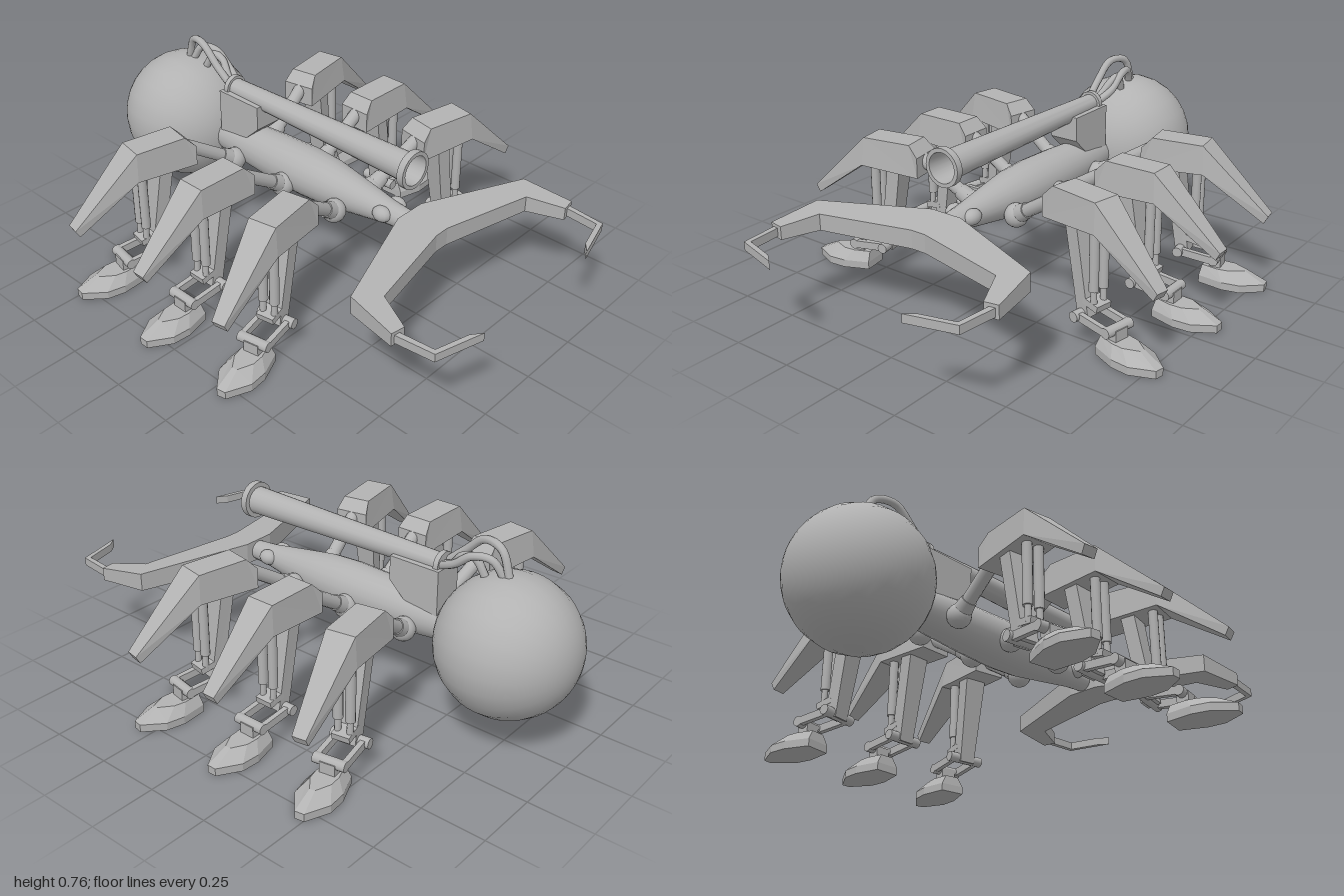
import * as THREE from 'three';
import { toCreasedNormals } from 'three/addons/utils/BufferGeometryUtils.js';

const V = (x, y, z) => new THREE.Vector3(x, y, z);
const grey = new THREE.MeshStandardMaterial({ color: 0xb2b2b2 });
grey.name = 'grey metal';

function add(parent, name, geo) {
  const mesh = new THREE.Mesh(geo, grey);
  mesh.name = name;
  parent.add(mesh);
  return mesh;
}

// Move every vertex by a rule, then refresh the normals
function warp(geo, rule) {
  const p = geo.attributes.position;
  const v = V();
  for (let i = 0; i < p.count; i++) {
    rule(v.fromBufferAttribute(p, i));
    p.setXYZ(i, v.x, v.y, v.z);
  }
  geo.computeVertexNormals();
  return geo;
}

// Extrude an outline by depth along z, centred
function slab(points, depth, steps = 1) {
  const shape = new THREE.Shape(points.map(([x, y]) => new THREE.Vector2(x, y)));
  return new THREE.ExtrudeGeometry(shape, { depth, steps, bevelEnabled: false }).translate(0, 0, -depth / 2);
}

// Turned part along z from [radius, z] pairs
function turned(profile, segments) {
  const geo = new THREE.LatheGeometry(profile.map(([r, z]) => new THREE.Vector2(r, z)), segments);
  return toCreasedNormals(geo.rotateX(Math.PI / 2), 0.6);
}

function rod(parent, name, a, b, r0, r1 = r0, sides = 12) {
  const mesh = add(parent, name, new THREE.CylinderGeometry(r1, r0, a.distanceTo(b), sides));
  mesh.position.copy(a).lerp(b, 0.5);
  mesh.quaternion.setFromUnitVectors(V(0, 1, 0), b.clone().sub(a).normalize());
  return mesh;
}

// One leg reaching out along +x
function makeLeg() {
  const leg = new THREE.Group();
  leg.name = 'leg';

  // Hip and upper arm
  add(leg, 'hipBall', new THREE.SphereGeometry(0.046, 16, 12)).position.set(0.1, 0.36, 0);
  rod(leg, 'hipCollar', V(0.115, 0.37, 0), V(0.16, 0.398, 0), 0.036, 0.03);
  rod(leg, 'upperArm', V(0.1, 0.36, 0), V(0.36, 0.525, 0), 0.026);

  // Armoured thigh, narrowing to its outer tip
  const thigh = slab([[0.305, 0.44], [0.555, 0.452], [0.79, 0.285], [0.806, 0.315],
    [0.546, 0.563], [0.345, 0.563], [0.305, 0.52]], 2);
  add(leg, 'thighArmour', warp(thigh, v => {
    v.z *= v.x > 0.56 ? 0.026 : v.y > 0.54 ? 0.055 : 0.066;
  }));

  // Shin
  const shin = slab([[0.395, 0.47], [0.455, 0.10], [0.505, 0.11], [0.45, 0.47]], 2);
  add(leg, 'shin', warp(shin, v => { v.z *= v.y > 0.3 ? 0.046 : 0.032; }));

  // Paired shock absorbers outside the shin
  for (const s of [-1, 1]) {
    const z = s * 0.024;
    rod(leg, 'piston', V(0.52, 0.46, z), V(0.522, 0.22, z), 0.018);
    rod(leg, 'pistonShaft', V(0.522, 0.23, z), V(0.525, 0.16, z), 0.012);
  }
  const block = add(leg, 'pistonMount', new THREE.BoxGeometry(0.07, 0.025, 0.07));
  block.position.set(0.515, 0.165, 0);
  block.rotation.z = -0.2;

  // Ankle axles joined by side links
  const ankles = [V(0.475, 0.118, 0), V(0.615, 0.105, 0)];
  ankles.forEach((p, i) => {
    const w = i ? 0.062 : 0.075;
    rod(leg, 'ankleAxle', V(p.x, p.y, -w), V(p.x, p.y, w), 0.02);
  });
  for (const s of [-1, 1]) {
    const link = add(leg, 'ankleLink', new THREE.BoxGeometry(0.15, 0.03, 0.02));
    link.position.set(0.545, 0.111, s * 0.052);
    link.rotation.z = -0.09;
  }
  const post = add(leg, 'anklePost', new THREE.BoxGeometry(0.045, 0.06, 0.06));
  post.position.set(0.615, 0.08, 0);

  // Foot: upright rim and a bevelled top
  const half = [[0.56, 0.05], [0.66, 0.075], [0.73, 0.07], [0.812, 0.018]];
  const outline = [...half, ...half.map(([x, z]) => [x, -z]).reverse()];
  const foot = slab(outline, 2, 2).rotateX(-Math.PI / 2);
  add(leg, 'foot', warp(foot, v => {
    if (v.y > 0.5) {
      v.x = 0.565 + (v.x - 0.56) * 0.66;
      v.z *= 0.58;
    }
    v.y = v.y < -0.5 ? 0 : v.y < 0.5 ? 0.03 : 0.068;
  }));
  return leg;
}

export function createModel() {
  const model = new THREE.Group();
  model.name = 'insectWalker';

  // Abdomen
  add(model, 'abdomen', new THREE.SphereGeometry(0.262, 24, 24).rotateX(Math.PI / 2)).position.set(0, 0.392, -0.738);

  // Spindle body
  add(model, 'body', turned([[0, -0.52], [0.068, -0.52], [0.08, -0.4], [0.091, -0.22], [0.096, -0.05],
    [0.09, 0.07], [0.075, 0.17], [0.058, 0.28], [0.045, 0.36], [0.036, 0.47], [0, 0.47]], 20))
    .position.y = 0.39;

  // Eyes
  for (const s of [-1, 1]) {
    const eye = add(model, 'eye', new THREE.SphereGeometry(0.03, 14, 10));
    eye.position.set(s * 0.042, 0.4, 0.352);
    eye.scale.z = 1.3;
  }

  // Cannon with hollow muzzle
  add(model, 'cannon', turned([[0, -0.462], [0.048, -0.462], [0.048, -0.442], [0.037, -0.442], [0.054, 0.435],
    [0.072, 0.435], [0.072, 0.462], [0.057, 0.462], [0.04, 0.25], [0, 0.25]], 20))
    .position.y = 0.609;

  // Cannon mount
  add(model, 'cannonMount', slab([[-0.265, 0.605], [-0.265, 0.51], [-0.33, 0.45], [-0.475, 0.43], [-0.475, 0.605]], 0.12)
    .rotateY(-Math.PI / 2));

  // Hoses from the cannon to the abdomen
  const hoses = [
    [[-0.015, 0.61, -0.45], [-0.02, 0.68, -0.53], [-0.015, 0.745, -0.61], [0.005, 0.735, -0.69], [0.012, 0.64, -0.73]],
    [[0.02, 0.61, -0.45], [0.045, 0.65, -0.53], [0.045, 0.7, -0.6], [0.03, 0.7, -0.67], [0.015, 0.64, -0.71]],
    [[0.0, 0.61, -0.45], [0.012, 0.63, -0.5], [0.03, 0.68, -0.55], [0.03, 0.69, -0.6], [0.02, 0.61, -0.65]],
  ];
  for (const pts of hoses) {
    const curve = new THREE.CatmullRomCurve3(pts.map(p => V(...p)));
    add(model, 'hose', new THREE.TubeGeometry(curve, 24, 0.015, 8));
  }

  // Mandibles: one swept plate, thinner toward the front
  const side = [[0.065, 0.445], [0.485, 0.6], [0.512, 0.795], [0.457, 0.803], [0.4, 0.67], [0.03, 0.592]];
  const mirrored = side.map(([x, z]) => [-x, z]).reverse();
  const jaws = slab([...side, ...mirrored], 2).rotateX(Math.PI / 2);
  add(model, 'mandibles', warp(jaws, v => {
    const t = (v.z - 0.445) / 0.355;
    v.y = v.y > 0 ? 0.435 - 0.047 * t : 0.35 - 0.013 * t;
  }));

  // Pincer tips
  const tip = [[0.5, 0.79], [0.482, 0.945], [0.296, 0.995], [0.335, 0.965], [0.464, 0.93], [0.478, 0.79]];
  for (const s of [-1, 1]) {
    const geo = slab(tip.map(([x, z]) => [s * x, z]), 0.032).rotateX(Math.PI / 2);
    add(model, 'pincerTip', geo).position.y = 0.36;
  }

  // Three pairs of legs, splayed about their hips
  for (const [z, splay] of [[0.17, 0.185], [-0.093, 0], [-0.36, -0.175]]) {
    for (const s of [-1, 1]) {
      const hip = new THREE.Group();
      hip.name = s > 0 ? 'leftLegPivot' : 'rightLegPivot';
      hip.position.set(s * 0.09, 0, z);
      hip.rotation.y = s > 0 ? -splay : Math.PI + splay;
      const leg = makeLeg();
      leg.position.x = -0.09;
      hip.add(leg);
      model.add(hip);
    }
  }
  return model;
}
